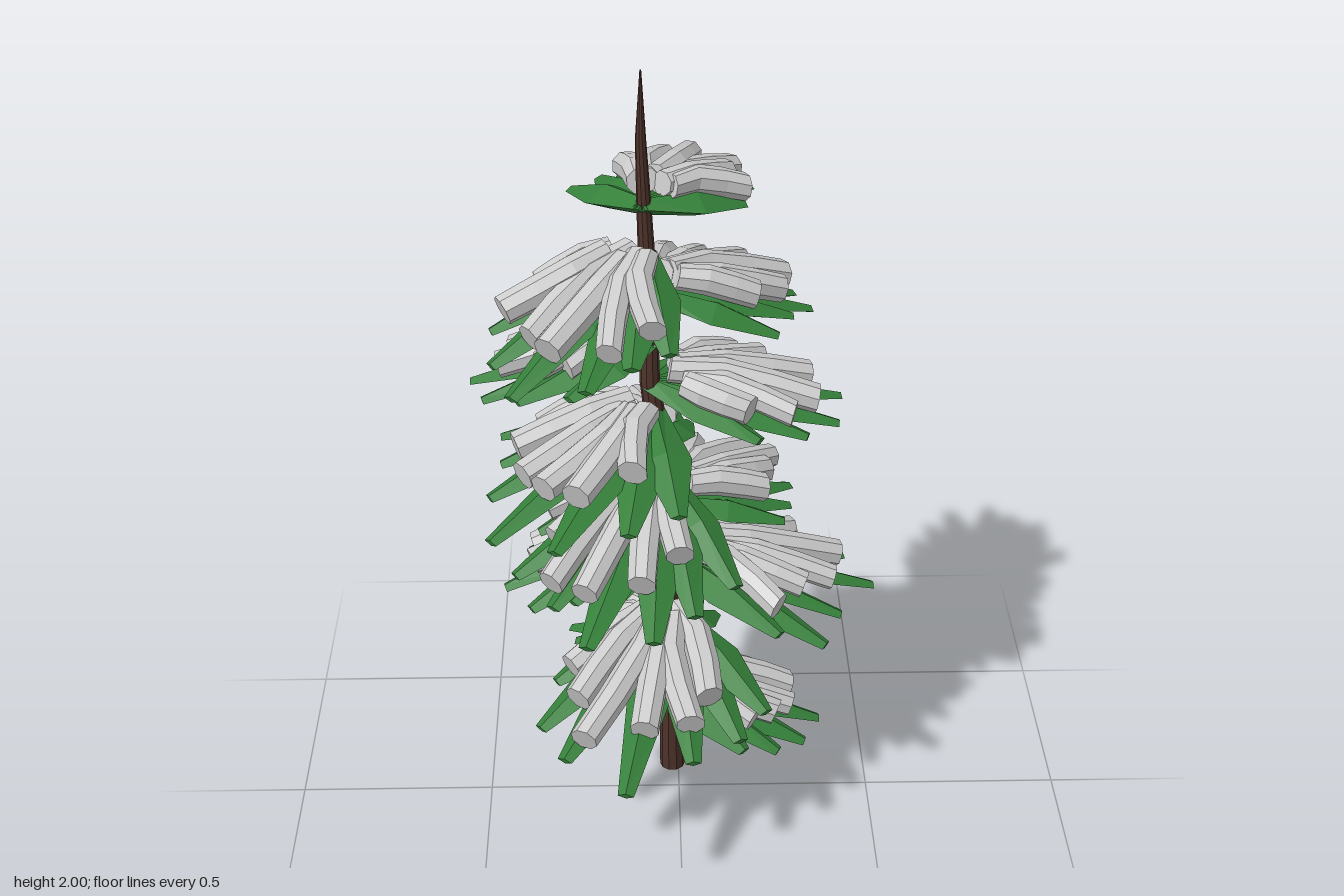
import * as THREE from 'three';
import { mergeGeometries } from 'three/addons/utils/BufferGeometryUtils.js';

const mat = (color) => new THREE.MeshStandardMaterial({ color, flatShading: true });

// small seeded generator giving values in -1..1
let seed = 7;
const jitter = () => {
  seed = (seed * 16807) % 2147483647;
  return (seed / 2147483647) * 2 - 1;
};

// faceted solid along +z; each station is [z, centreX, centreY, radiusX, radiusY]
function loft(stations, sides, turn = 0) {
  const rings = stations.map(([z, cx, cy, rx, ry]) =>
    Array.from({ length: sides }, (_, i) => {
      const a = turn + (i / sides) * Math.PI * 2;
      return [cx + Math.cos(a) * rx, cy + Math.sin(a) * ry, z];
    }));
  const pos = [];
  const tri = (a, b, c) => pos.push(...a, ...b, ...c);
  for (let r = 0; r < rings.length - 1; r++) {
    for (let i = 0; i < sides; i++) {
      const j = (i + 1) % sides;
      tri(rings[r][i], rings[r][j], rings[r + 1][j]);
      tri(rings[r][i], rings[r + 1][j], rings[r + 1][i]);
    }
  }
  const first = rings[0], last = rings[rings.length - 1];
  for (let i = 1; i < sides - 1; i++) {
    tri(first[0], first[i + 1], first[i]);
    tri(last[0], last[i], last[i + 1]);
  }
  const geo = new THREE.BufferGeometry();
  geo.setAttribute('position', new THREE.Float32BufferAttribute(pos, 3));
  geo.computeVertexNormals();
  return geo;
}

// trunk centre line: [y, x, z, radius]
const TRUNK = [
  [0, -0.016, -0.097, 0.033], [0.3, -0.018, -0.083, 0.032], [0.5, -0.019, -0.066, 0.031],
  [0.8, -0.022, -0.064, 0.03], [1.0, -0.045, -0.062, 0.028], [1.2, -0.07, -0.062, 0.025],
  [1.45, -0.072, -0.072, 0.022], [1.65, -0.08, -0.066, 0.018], [1.83, -0.087, -0.059, 0.013],
  [2.0, -0.086, -0.056, 0.002],
];

function trunkAt(y) {
  const k = TRUNK.findIndex((p) => p[0] > y);
  const a = TRUNK[k - 1], b = TRUNK[k], t = (y - a[0]) / (b[0] - a[0]);
  return new THREE.Vector3(a[1] + (b[1] - a[1]) * t, y, a[2] + (b[2] - a[2]) * t);
}

// boughs: [root height, heading in degrees, length, drop at the tip, turn of the snow in degrees]
const BOUGHS = [
  [1.66, 166, 0.45, 0.08, -14], [1.535, -39, 0.52, 0.18, -2], [1.43, 132, 0.5, 0.14, 0],
  [1.30, -94, 0.45, 0.10, 0], [1.185, 104, 0.5, 0.10, -8], [1.12, -43, 0.56, 0.14, -4],
  [1.01, -148, 0.44, 0.10, 0], [0.94, -23, 0.56, 0.19, -9], [0.85, 143, 0.46, 0.10, 0],
  [0.81, -78, 0.45, 0.14, 0], [0.70, 97, 0.56, 0.16, 0], [0.53, -12, 0.6, 0.18, -7],
  [0.45, -160, 0.42, 0.14, 0], [0.27, 96, 0.42, 0.14, 0],
];

// one drooping bough: a fan of broad pointed sprays with snow rolls on top
function makeBough(y, heading, length, drop, snowTurn, green, white) {
  const bough = new THREE.Group();
  bough.name = 'bough';
  bough.position.copy(trunkAt(y));
  bough.rotation.y = THREE.MathUtils.degToRad(heading);
  const slope = Math.asin(drop / length);
  const reach = (t) => length * (1 - 0.31 * Math.pow(Math.abs(t), 1.4));

  const sprays = [];
  for (let i = 0; i < 7; i++) {
    const t = (i - 3) / 3;
    const long = reach(t) * (i === 3 ? 1 : 0.94 + 0.08 * jitter());
    const w = 0.06 + 0.006 * jitter();
    const spray = loft([
      [-0.01, 0, 0, 0.025, 0.02],
      [long * 0.5, 0, 0.004, w, 0.03],
      [long, 0, 0, 0.02, 0.009],
    ], 4);
    sprays.push(spray.rotateX(slope + 0.03 * jitter()).rotateY(t * 0.88 + 0.05 * jitter()));
  }
  const needles = new THREE.Mesh(mergeGeometries(sprays), green);
  needles.name = 'needles';

  const rolls = [];
  for (let i = 0; i < 6; i++) {
    const t = (i - 2.5) / 2.5;
    const start = 0.06 + 0.03 * jitter();
    const end = reach(t) * (0.78 + 0.07 * jitter());
    const bend = 0.018 * jitter(), lift = 0.054 + 0.011 * jitter();
    const r = 0.037 + 0.003 * jitter();
    const at = (f) => start + (end - start) * f;
    const roll = loft([
      [at(0), 0, lift - 0.002, r * 0.9, r * 0.85],
      [at(0.35), bend, lift + 0.008, r, r],
      [at(0.7), bend * 0.2, lift + 0.003, r, r],
      [at(1), -bend, lift - 0.004, r * 0.95, r * 0.95],
    ], 8, Math.PI / 8);
    rolls.push(roll.rotateX(slope).rotateY(t * 0.64 + 0.06 * jitter()));
  }
  const snow = new THREE.Mesh(mergeGeometries(rolls), white);
  snow.name = 'snow';
  snow.rotation.y = THREE.MathUtils.degToRad(snowTurn);

  bough.add(needles, snow);
  return bough;
}

export function createModel() {
  seed = 7;
  const tree = new THREE.Group();
  tree.name = 'snowyFir';

  const stations = TRUNK.map(([y, x, z, r]) => [y, x, -z, r, r]);
  const trunk = new THREE.Mesh(loft(stations, 10).rotateX(-Math.PI / 2), mat(0x4f342b));
  trunk.name = 'trunk';
  tree.add(trunk);

  const green = mat(0x35803a), white = mat(0xcccccc);
  for (const b of BOUGHS) tree.add(makeBough(...b, green, white));
  return tree;
}
